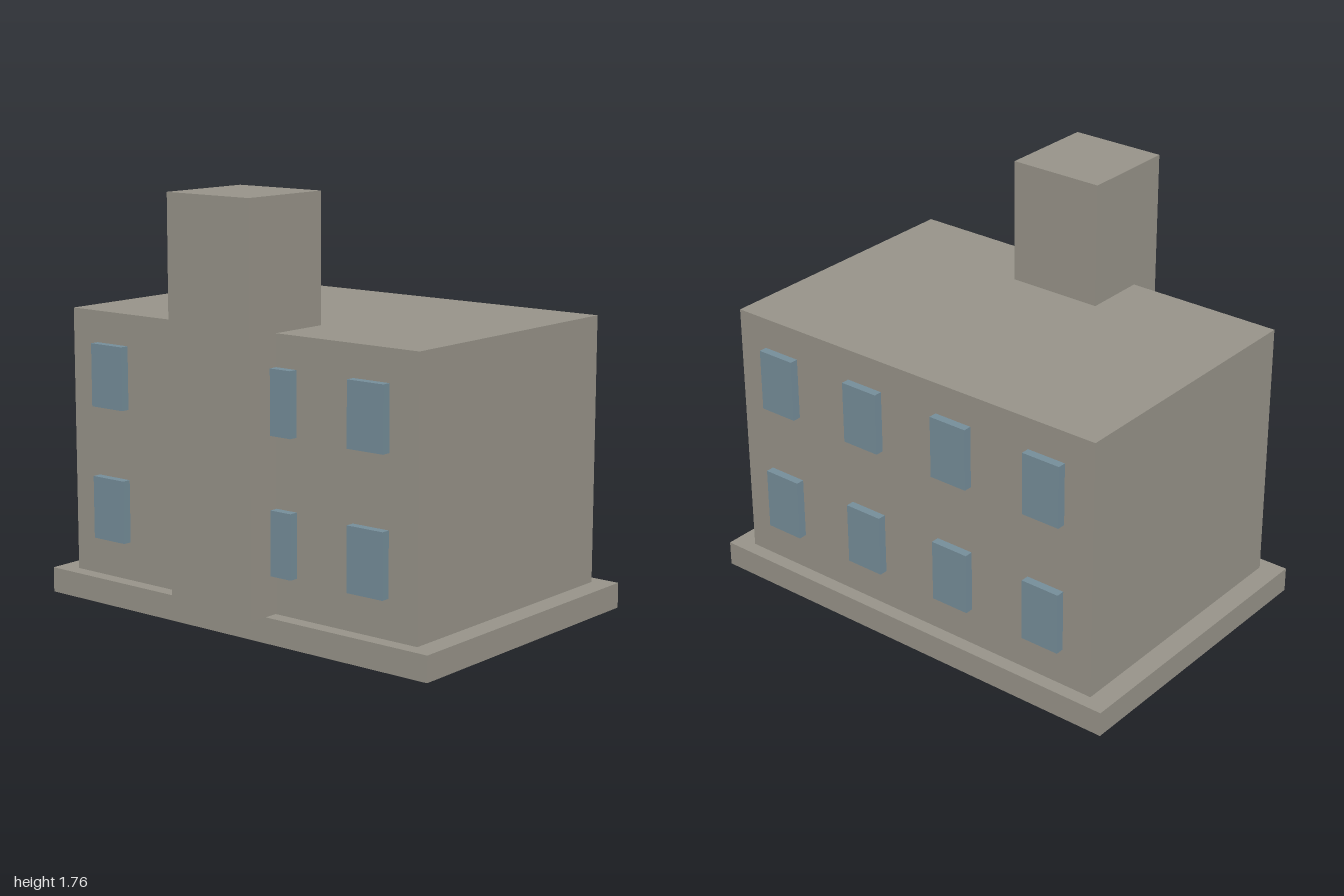
import * as THREE from 'three';

export function createModel() {
  const model = new THREE.Group();
  model.name = 'building';
  const stone = new THREE.MeshStandardMaterial({ color: 0x979389 });
  stone.name = 'warm grey stone';
  const glass = new THREE.MeshStandardMaterial({ color: 0x758d99 });
  glass.name = 'blue grey glass';

  // Box given by its min and max corners
  function addBox(name, material, [x0, y0, z0], [x1, y1, z1], parent = model) {
    const mesh = new THREE.Mesh(new THREE.BoxGeometry(x1 - x0, y1 - y0, z1 - z0), material);
    mesh.position.set((x0 + x1) / 2, (y0 + y1) / 2, (z0 + z1) / 2);
    mesh.name = name;
    parent.add(mesh);
  }

  // Plinth, main block and the tower standing through the front wall
  addBox('plinth', stone, [-1, 0, -0.71], [1, 0.107, 0.615]);
  addBox('mainBlock', stone, [-0.907, 0.107, -0.65], [0.907, 1.232, 0.554]);
  addBox('tower', stone, [-0.212, 0.11, 0.282], [0.212, 1.765, 0.71]);

  // Two rows of four raised windows on the front and back walls
  const windows = new THREE.Group();
  windows.name = 'windows';
  model.add(windows);
  const walls = [['front', 0.55, 0.592], ['back', -0.686, -0.646]];
  for (const [side, z0, z1] of walls) {
    for (const y of [0.27, 0.833]) {
      for (const x of [-0.682, -0.228, 0.228, 0.682]) {
        addBox(side + 'Window', glass, [x - 0.087, y, z0], [x + 0.087, y + 0.266, z1], windows);
      }
    }
  }
  return model;
}
